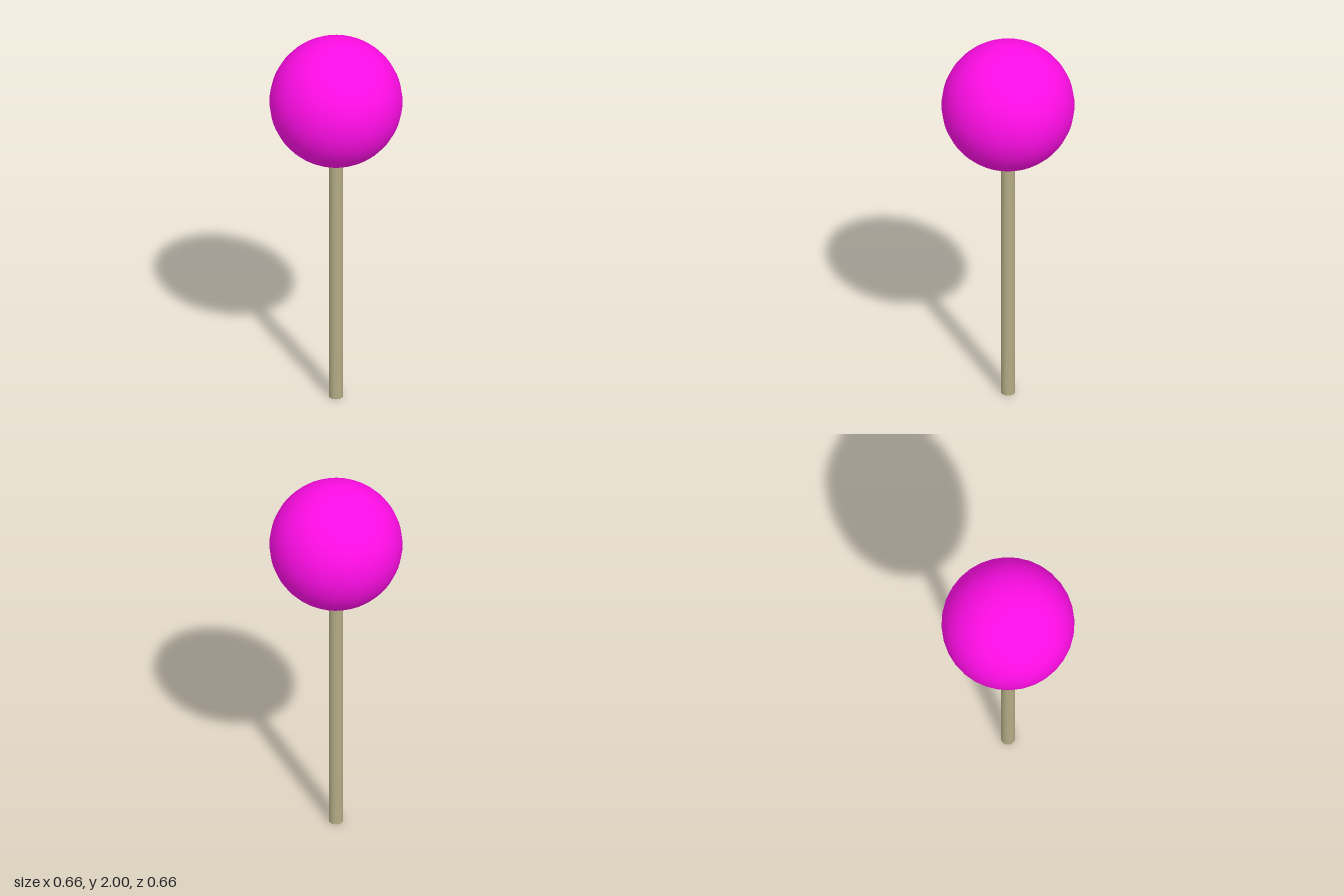
import * as THREE from 'three';

export function createModel() {
  const model = new THREE.Group();
  const radius = 0.332;

  function addPart(name, geometry, color, y) {
    const mesh = new THREE.Mesh(geometry, new THREE.MeshStandardMaterial({ color }));
    mesh.name = name;
    mesh.position.y = y;
    model.add(mesh);
  }

  // Round candy head
  addPart('candyBall', new THREE.SphereGeometry(radius, 32, 32), 0xff0de6, 2 - radius);

  // Straight stick, its top sunk slightly into the ball
  const stickLength = 1.36;
  addPart('stick', new THREE.CylinderGeometry(0.035, 0.035, stickLength, 32), 0xb3ab85, stickLength / 2);

  return model;
}
